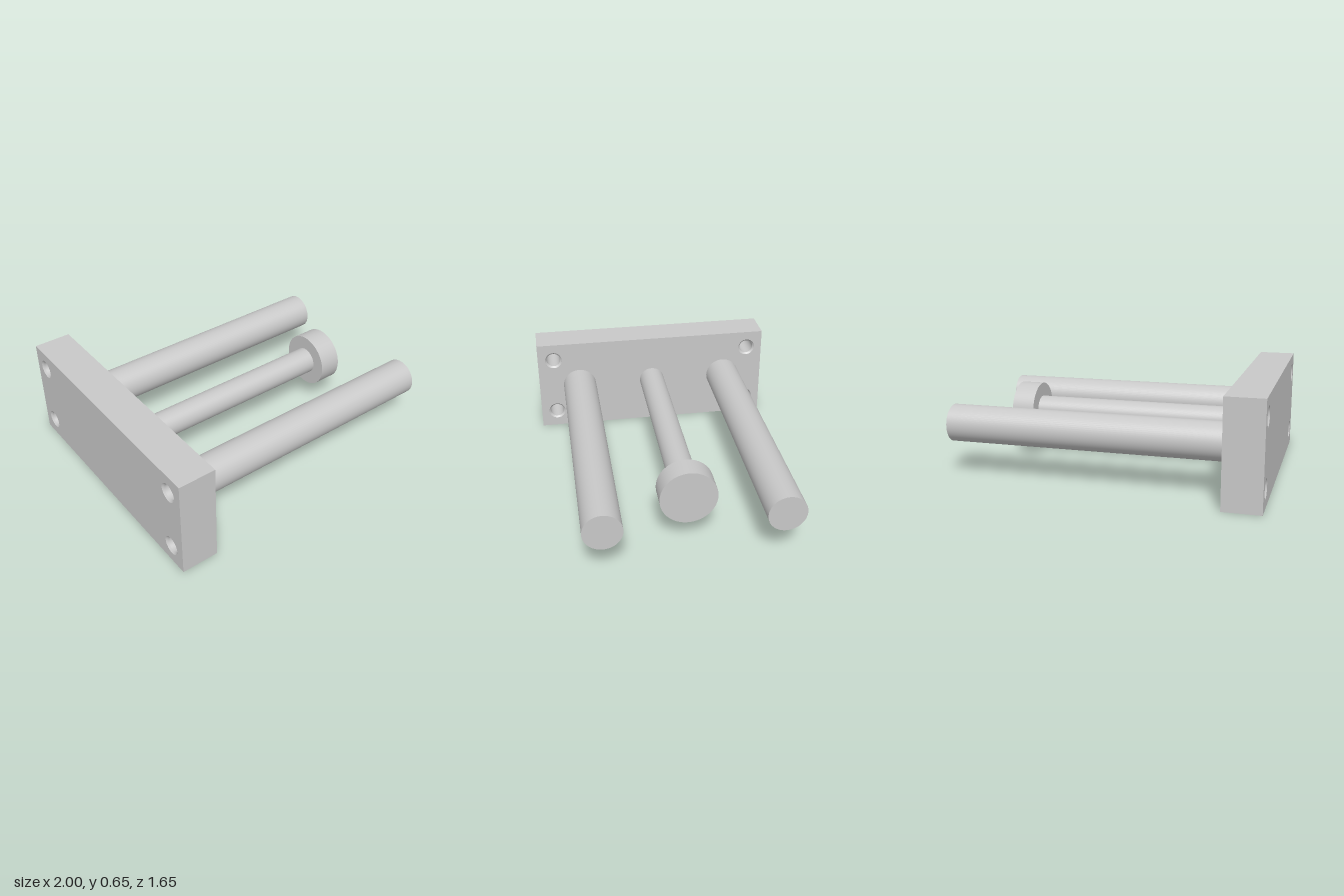
import * as THREE from 'three';

const STEEL = new THREE.MeshStandardMaterial({ color: 0xc8c8c8 });
STEEL.name = 'steel';

const PLATE = { x0: -1, x1: -0.765, height: 0.655, depth: 1.654 };
const AXIS_Y = PLATE.height / 2;
const HOLE = { z: 0.714, dy: 0.207, mouth: 0.06, bore: 0.049, chamfer: 0.011 };

function add(group, name, geometry) {
  const mesh = new THREE.Mesh(geometry, STEEL);
  mesh.name = name;
  group.add(mesh);
  return mesh;
}

// Solid cylinder lying along x
function rod(group, name, x0, x1, radius, z) {
  const geometry = new THREE.CylinderGeometry(radius, radius, x1 - x0, 64);
  geometry.rotateZ(-Math.PI / 2);
  add(group, name, geometry).position.set((x0 + x1) / 2, AXIS_Y, z);
}

export function createModel() {
  const model = new THREE.Group();
  model.name = 'guidedPlate';
  const thickness = PLATE.x1 - PLATE.x0;

  // End plate with four holes, extruded along x
  const w = PLATE.depth / 2, h = AXIS_Y;
  const outline = new THREE.Shape([
    new THREE.Vector2(-w, -h), new THREE.Vector2(w, -h),
    new THREE.Vector2(w, h), new THREE.Vector2(-w, h),
  ]);
  const corners = [];
  for (const sz of [-1, 1]) for (const sy of [-1, 1]) corners.push([sz * HOLE.z, sy * HOLE.dy]);
  for (const [z, y] of corners) {
    const hole = new THREE.Path();
    hole.absarc(z, y, HOLE.mouth, 0, Math.PI * 2, true);
    outline.holes.push(hole);
  }
  const plate = new THREE.ExtrudeGeometry(outline, { depth: thickness, bevelEnabled: false, curveSegments: 48 });
  plate.rotateY(Math.PI / 2);
  add(model, 'endPlate', plate).position.set(PLATE.x0, AXIS_Y, 0);

  // Hole linings: chamfer, straight bore, chamfer (profiles descend so they face inward)
  const c = HOLE.chamfer;
  const profile = [
    [HOLE.mouth, thickness], [HOLE.bore, thickness - c], [HOLE.bore, c], [HOLE.mouth, 0],
  ].map(([r, t]) => new THREE.Vector2(r, t));
  for (const [z, y] of corners) {
    for (let i = 0; i < 3; i++) {
      const lining = new THREE.LatheGeometry(profile.slice(i, i + 2), 48);
      lining.rotateZ(-Math.PI / 2);
      add(model, i === 1 ? 'holeBore' : 'holeChamfer', lining).position.set(PLATE.x0, AXIS_Y + y, z);
    }
  }

  // Guide rods on both sides
  rod(model, 'leftGuideRod', PLATE.x1, 1, 0.118, -0.534);
  rod(model, 'rightGuideRod', PLATE.x1, 1, 0.118, 0.534);

  // Centre rod with its wide head
  rod(model, 'centreRod', PLATE.x1, 0.613, 0.088, 0);
  rod(model, 'centreRodHead', 0.613, 0.76, 0.177, 0);

  return model;
}
